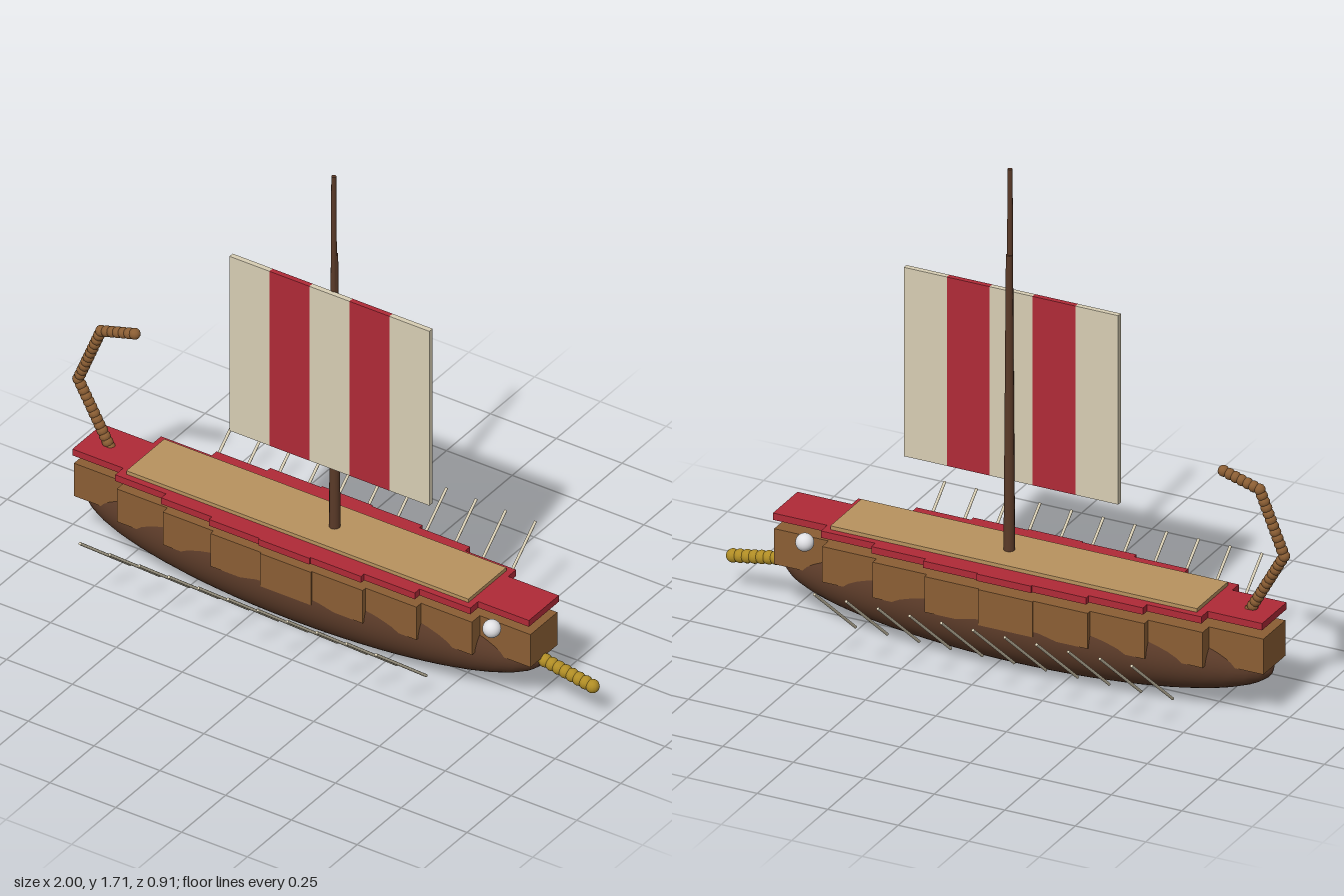
import * as THREE from 'three';

const mat = (name, color) => {
  const m = new THREE.MeshStandardMaterial({ color });
  m.name = name;
  return m;
};

export function createModel() {
  const ship = new THREE.Group();
  ship.name = 'galley';
  const darkWood = mat('dark wood', 0x5a3a28);
  const plankWood = mat('plank wood', 0x8b5e34);
  const deckWood = mat('deck wood', 0xb8935f);
  const red = mat('red paint', 0xb02a37);
  const cream = mat('cream cloth', 0xd8ceb4);
  const bronze = mat('bronze', 0xb08d25);
  const white = mat('eye white', 0xe0e0e4);

  const add = (name, geo, material, x = 0, y = 0, z = 0, parent = ship) => {
    const mesh = new THREE.Mesh(geo, material);
    mesh.name = name;
    mesh.position.set(x, y, z);
    parent.add(mesh);
    return mesh;
  };
  const box = (name, w, h, d, m, x, y, z, parent) =>
    add(name, new THREE.BoxGeometry(w, h, d), m, x, y, z, parent);
  const group = (name) => {
    const g = new THREE.Group();
    g.name = name;
    ship.add(g);
    return g;
  };

  // Rounded hull
  const hullGeo = new THREE.SphereGeometry(1, 48, 32).scale(0.865, 0.155, 0.17);
  add('hull', hullGeo, darkWood, -0.077, 0.16, 0);

  // Stepped side planking and red gunwale, nine sections each
  const halfWidths = [0.085, 0.13, 0.157, 0.174, 0.18, 0.174, 0.157, 0.13, 0.085];
  const step = 1.735 / 9;
  const planking = group('planking');
  const gunwale = group('gunwale');
  halfWidths.forEach((w, i) => {
    const x = -0.945 + step * (i + 0.5);
    box('plankSection', step, 0.125, 2 * (w - 0.009), plankWood, x, 0.2385, 0, planking);
    box('gunwaleSection', step, 0.024, 2 * w, red, x, 0.348, 0, gunwale);
  });
  box('deck', 1.3, 0.016, 0.215, deckWood, -0.075, 0.365, 0);

  // Mast in two lengths
  add('lowerMast', new THREE.CylinderGeometry(0.011, 0.019, 1.11, 12), darkWood, -0.005, 0.855, 0);
  add('upperMast', new THREE.CylinderGeometry(0.008, 0.011, 0.6, 12), darkWood, -0.005, 1.41, 0.005);

  // Striped sail
  const sail = group('sail');
  for (let i = 0; i < 5; i++) {
    box('sailStripe', 0.152, 0.665, 0.018, i % 2 ? red : cream, -0.309 + 0.152 * i, 0.943, 0.021, sail);
  }

  // Beaded rods along a polyline
  const beads = (name, points, radius, spacing, m) => {
    const g = group(name);
    const geo = new THREE.SphereGeometry(radius, 12, 8);
    for (let i = 0; i < points.length - 1; i++) {
      const a = new THREE.Vector3(...points[i], 0);
      const b = new THREE.Vector3(...points[i + 1], 0);
      const n = Math.round(a.distanceTo(b) / spacing);
      for (let k = i ? 1 : 0; k <= n; k++) {
        const p = a.clone().lerp(b, k / n);
        add('bead', geo, m, p.x, p.y, 0, g);
      }
    }
  };
  beads('sternOrnament', [[-0.838, 0.315], [-0.98, 0.568], [-0.893, 0.783], [-0.765, 0.82]], 0.019, 0.021, plankWood);
  beads('ram', [[0.77, 0.167], [0.975, 0.132]], 0.023, 0.026, bronze);

  // Eyes and oars on both sides
  const oars = group('oars');
  const oarLength = Math.hypot(0.285, 0.24);
  const oarGeo = new THREE.CylinderGeometry(0.005, 0.005, oarLength, 8);
  for (const s of [1, -1]) {
    add('eye', new THREE.SphereGeometry(0.03, 24, 16), white, 0.665, 0.296, s * 0.109);
    for (let i = 0; i < 11; i++) {
      const oar = add('oar', oarGeo, cream, -0.67 + i * 0.1125, 0.19, s * 0.31, oars);
      oar.rotation.x = s * Math.atan2(0.285, 0.24);
    }
  }
  return ship;
}
